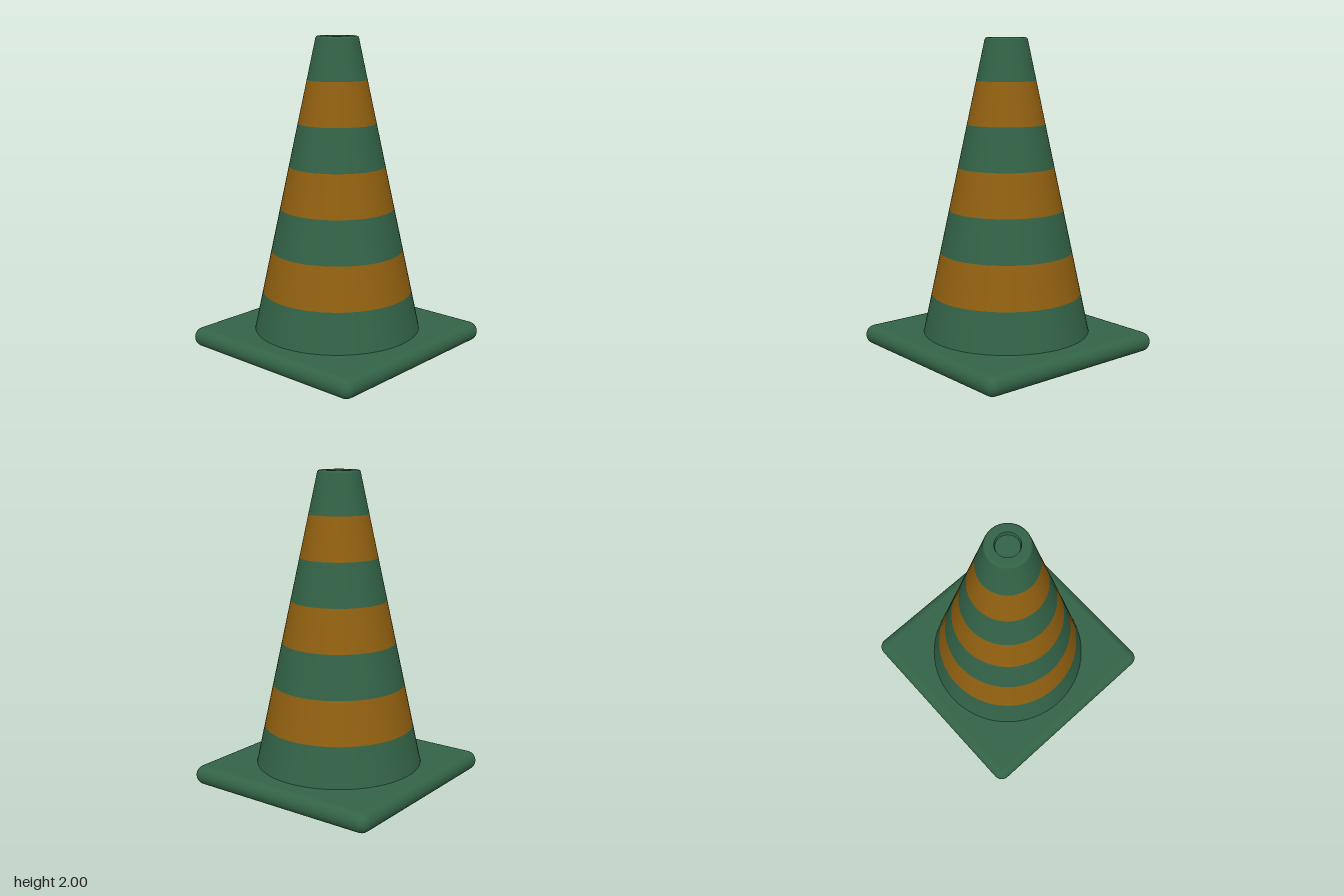
import * as THREE from 'three';
import { RoundedBoxGeometry } from 'three/addons/geometries/RoundedBoxGeometry.js';

const SEGMENTS = 64;
const BASE_TOP = 0.125;
const green = new THREE.MeshStandardMaterial({ color: 0x336347 });
const orange = new THREE.MeshStandardMaterial({ color: 0x916010 });

// Cone radius at a given height
const radiusAt = (y) => 0.535 - (y - BASE_TOP) * 0.215;

function lathe(name, points, material) {
  const profile = points.map(([r, y]) => new THREE.Vector2(r, y));
  const mesh = new THREE.Mesh(new THREE.LatheGeometry(profile, SEGMENTS), material);
  mesh.name = name;
  return mesh;
}

export function createModel() {
  const cone = new THREE.Group();
  cone.name = 'trafficCone';

  // Square foot with fully rounded edges
  const base = new THREE.Mesh(new RoundedBoxGeometry(1.35, BASE_TOP, 1.35, 6, 0.062), green);
  base.name = 'base';
  base.position.y = BASE_TOP / 2;
  cone.add(base);

  // Tapered body in alternating bands
  const levels = [0.11, 0.375, 0.646, 0.918, 1.189, 1.46, 1.731, 1.988];
  for (let i = 0; i < levels.length - 1; i++) {
    const [low, high] = [levels[i], levels[i + 1]];
    const striped = i % 2 === 1;
    cone.add(lathe(
      (striped ? 'stripe' : 'bodyBand') + (i + 1),
      [[radiusAt(low), low], [radiusAt(high), high]],
      striped ? orange : green
    ));
  }

  // Softened rim around a shallow recess in the tip
  const edge = radiusAt(1.988);
  cone.add(lathe('topRim', [[edge, 1.988], [edge - 0.004, 1.996], [edge - 0.014, 2], [0.075, 2]], green));
  cone.add(lathe('recessWall', [[0.075, 2], [0.07, 1.975]], green));
  cone.add(lathe('recessFloor', [[0.07, 1.975], [0, 1.975]], green));

  return cone;
}
